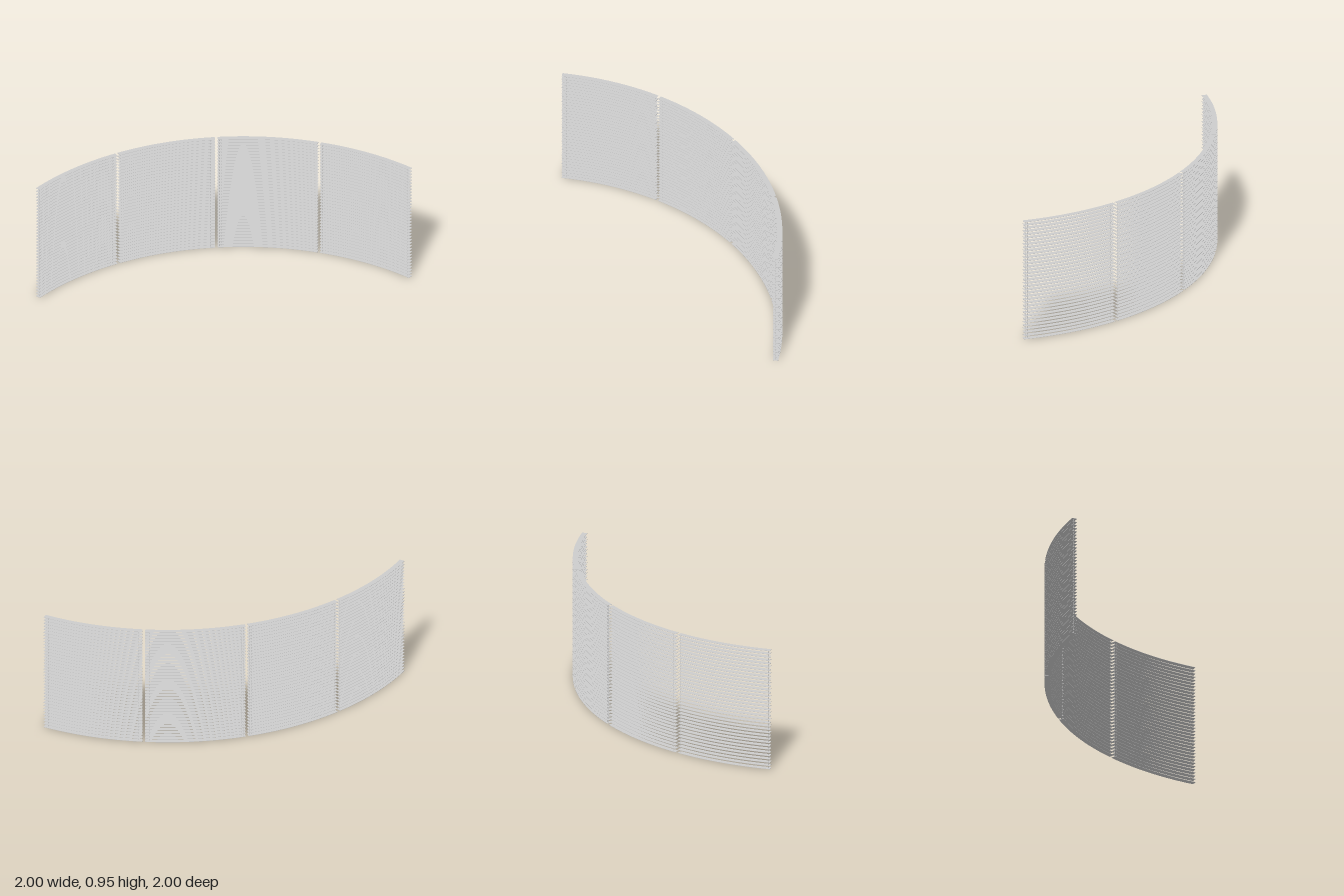
import * as THREE from 'three';
import { toCreasedNormals } from 'three/addons/utils/BufferGeometryUtils.js';

const OUTER = 2, INNER = 1.96, MID = 1.98;   // radii about the point x = 1, z = 1
const PANELS = 4, SLATS = 37;
const PITCH = 0.0263, THICK = 0.002;
const HEIGHT = PITCH * (SLATS - 1) + THICK;
const HALF_GAP = 0.01 / MID;                 // half the gap between panels, as an angle
const CORD_INSETS = [0.015, 0.031];          // cord distances from a panel end

// One thin curved slat lying flat, from angle a to angle b
function slatGeometry(a, b) {
  const shape = new THREE.Shape();
  shape.absarc(0, 0, OUTER, a, b, false);
  shape.absarc(0, 0, INNER, b, a, true);
  shape.closePath();
  const geo = new THREE.ExtrudeGeometry(shape, { depth: THICK, bevelEnabled: false, curveSegments: 24 });
  geo.rotateX(-Math.PI / 2);
  geo.translate(1, 0, 1);
  return toCreasedNormals(geo, 0.5);
}

export function createModel() {
  const model = new THREE.Group();
  model.name = 'curvedBlind';
  const material = new THREE.MeshStandardMaterial({ color: 0xcccccc });
  const cordGeo = new THREE.CylinderGeometry(0.001, 0.001, HEIGHT, 6);

  for (let p = 0; p < PANELS; p++) {
    const panel = new THREE.Group();
    panel.name = `blindPanel${p + 1}`;
    const step = Math.PI / 2 / PANELS;
    const a = Math.PI / 2 + p * step + (p > 0 ? HALF_GAP : 0);
    const b = Math.PI / 2 + (p + 1) * step - (p < PANELS - 1 ? HALF_GAP : 0);

    // Stack of slats
    const geo = slatGeometry(a, b);
    for (let i = 0; i < SLATS; i++) {
      const slat = new THREE.Mesh(geo, material);
      slat.name = 'slat';
      slat.position.y = i * PITCH;
      panel.add(slat);
    }

    // Pair of vertical cords near each end
    for (const inset of CORD_INSETS) {
      for (const angle of [a + inset / MID, b - inset / MID]) {
        const cord = new THREE.Mesh(cordGeo, material);
        cord.name = 'cord';
        cord.position.set(1 + MID * Math.cos(angle), HEIGHT / 2, 1 - MID * Math.sin(angle));
        panel.add(cord);
      }
    }
    model.add(panel);
  }
  return model;
}
